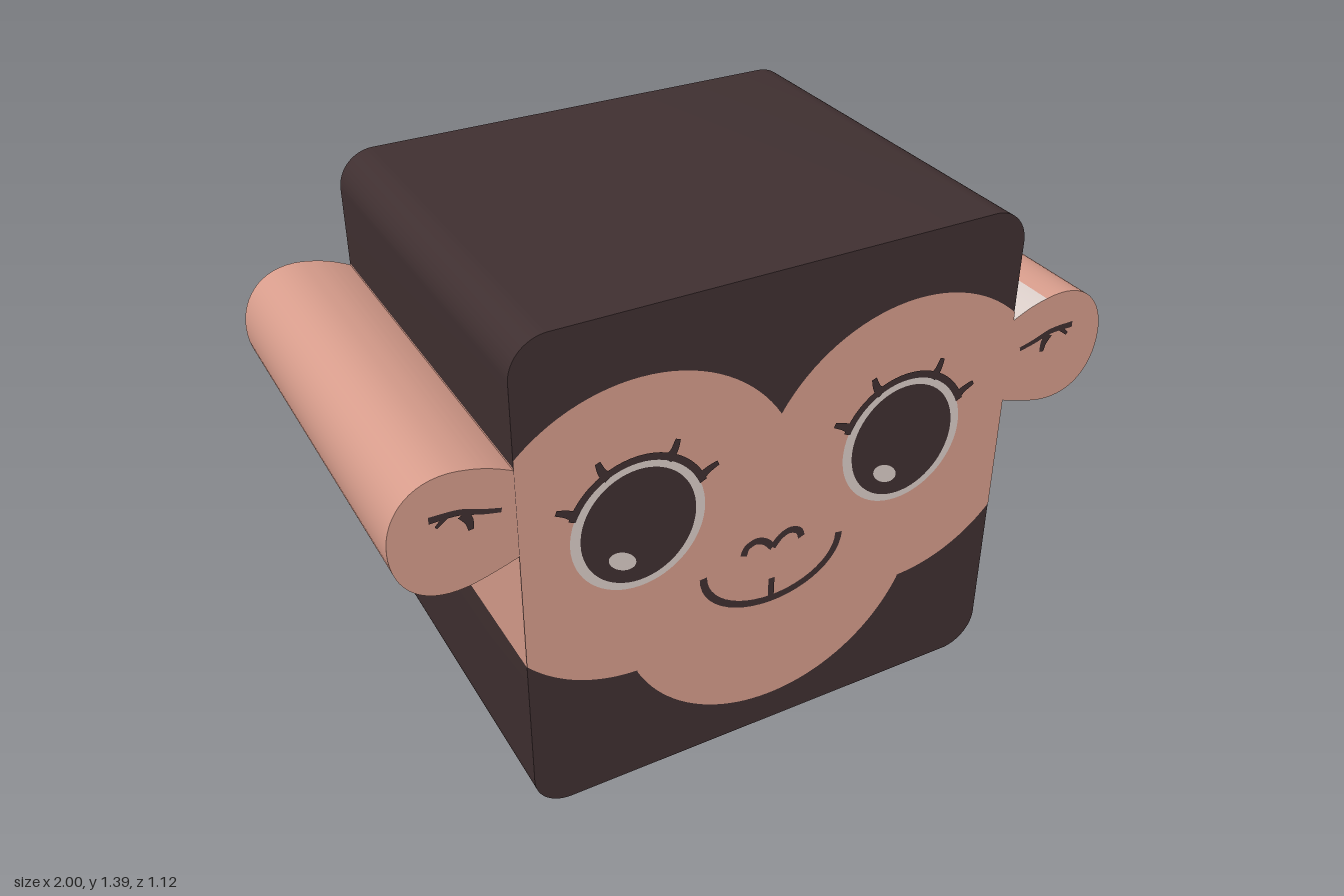
import * as THREE from 'three';
import { toCreasedNormals } from 'three/addons/utils/BufferGeometryUtils.js';

const W = 0.695, H = 1.39, D = 1.11, FRONT = D / 2, R = 0.1;

const mat = (name, color) => {
  const m = new THREE.MeshStandardMaterial({ color });
  m.name = name;
  return m;
};

// Extrudes a shape along z and picks a material index for every face from its centre
function extrudeBlock(name, shape, materials, pick) {
  let geo = new THREE.ExtrudeGeometry(shape, { depth: D, bevelEnabled: false, curveSegments: 16 });
  geo.translate(0, 0, -D / 2);
  geo = toCreasedNormals(geo, 0.5);
  geo.clearGroups();
  const p = geo.attributes.position;
  for (let i = 0; i < p.count; i += 3) {
    const mid = (get) => (get(i) + get(i + 1) + get(i + 2)) / 3;
    const x = mid((k) => p.getX(k)), y = mid((k) => p.getY(k)), z = mid((k) => p.getZ(k));
    const side = Math.abs(z) < D / 2 - 0.001;
    geo.addGroup(i, 3, pick(x, y, z, side));
  }
  const mesh = new THREE.Mesh(geo, materials);
  mesh.name = name;
  return mesh;
}

// Flat painted shape lying just in front of the face
function plate(name, shape, material, layer) {
  const mesh = new THREE.Mesh(new THREE.ShapeGeometry(shape, 32), material);
  mesh.position.z = FRONT + layer * 0.002;
  mesh.name = name;
  return mesh;
}

// Brush stroke along a smooth line; the width goes from w0 to w1
function stroke(points, w0, w1 = w0) {
  const curve = new THREE.SplineCurve(points.map(([x, y]) => new THREE.Vector2(x, y)));
  const left = [], right = [], n = 24;
  for (let i = 0; i <= n; i++) {
    const t = i / n, p = curve.getPoint(t), d = curve.getTangent(t);
    const h = (w0 + (w1 - w0) * t) / 2;
    left.push(new THREE.Vector2(p.x - d.y * h, p.y + d.x * h));
    right.unshift(new THREE.Vector2(p.x + d.y * h, p.y - d.x * h));
  }
  return new THREE.Shape([...left, ...right]);
}

function ellipse(x, y, rx, ry, turn = 0) {
  const s = new THREE.Shape();
  s.absellipse(x, y, rx, ry, 0, Math.PI * 2, false, turn);
  return s;
}

function arcPoints(cx, cy, rx, ry, a0, a1, n = 20) {
  return Array.from({ length: n + 1 }, (_, i) => {
    const a = THREE.MathUtils.degToRad(a0 + ((a1 - a0) * i) / n);
    return [cx + rx * Math.cos(a), cy + ry * Math.sin(a)];
  });
}

export function createModel() {
  const model = new THREE.Group();
  model.name = 'cubeMonkey';
  const fur = mat('dark brown fur', 0x403031);
  const skin = mat('pink skin', 0xd99e8d);
  const pale = mat('pale grey', 0xdccfca);

  // Rounded block body with a skin band on both side walls
  const body = new THREE.Shape();
  body.moveTo(-W + R, 0);
  body.lineTo(W - R, 0);
  body.absarc(W - R, R, R, -Math.PI / 2, 0);
  body.lineTo(W, 0.487);
  body.lineTo(W, 1.07);
  body.lineTo(W, H - R);
  body.absarc(W - R, H - R, R, 0, Math.PI / 2);
  body.lineTo(-W + R, H);
  body.absarc(-W + R, H - R, R, Math.PI / 2, Math.PI);
  body.lineTo(-W, 1.07);
  body.lineTo(-W, 0.487);
  body.lineTo(-W, R);
  body.absarc(-W + R, R, R, Math.PI, Math.PI * 1.5);
  model.add(extrudeBlock('body', body, [fur, skin], (x, y, z, side) =>
    side && Math.abs(x) > W - 0.001 && y > 0.6 && y < 0.95 ? 1 : 0));

  // Ears: skin front and rim, fur back, pale walls at the neck
  for (const s of [1, -1]) {
    const ear = new THREE.Shape();
    ear.moveTo(s * W, 0.825);
    ear.quadraticCurveTo(s * 0.75, 0.805, s * 0.8, 0.793);
    ear.bezierCurveTo(s * 0.93, 0.762, s, 0.84, s, 0.947);
    ear.bezierCurveTo(s, 1.045, s * 0.93, 1.132, s * 0.8, 1.103);
    ear.quadraticCurveTo(s * 0.75, 1.094, s * W, 1.065);
    ear.closePath();
    model.add(extrudeBlock(s > 0 ? 'leftEar' : 'rightEar', ear, [fur, skin, pale], (x, y, z, side) => {
      if (!side) return z > 0 ? 1 : 0;
      const neck = Math.abs(x) < 0.8;
      return neck && (s > 0 || y < 0.95) ? 2 : 1;
    }));
    // Ear fold marks
    const mark = (pts) => pts.map(([x, y]) => [s * x, y]);
    model.add(plate('earFold', stroke(mark([[0.73, 0.972], [0.775, 0.983], [0.83, 1.0], [0.9, 1.002]]), 0.012, 0.018), fur, 1));
    model.add(plate('earCrease', stroke(mark([[0.82, 0.993], [0.808, 0.97], [0.805, 0.945]]), 0.03, 0.012), fur, 1.5));
    model.add(plate('earTick', stroke(mark([[0.86, 1.0], [0.885, 0.978]]), 0.014, 0.008), fur, 1.5));
  }

  // Heart-topped face patch: muzzle, cheek and brow arcs, mirrored
  const half = [
    ...arcPoints(0, 0.537, 0.443, 0.443, -90, -26),
    ...arcPoints(0.385, 0.755, 0.41, 0.405, -88, -41),
    ...arcPoints(0.385, 0.763, 0.452, 0.452, 46.7, 148.4, 30),
  ].map(([x, y]) => [Math.min(x, W), y]);
  const other = half.slice(1, -1).reverse().map(([x, y]) => [-x, y]);
  const face = new THREE.Shape([...half, ...other].map(([x, y]) => new THREE.Vector2(x, y)));
  model.add(plate('facePatch', face, skin, 1));

  // Eyes with lid line and four lashes
  for (const [side, cx] of [['left', 0.368], ['right', -0.39]]) {
    const cy = 0.807;
    const eye = new THREE.Group();
    eye.name = side + 'Eye';
    eye.add(plate('eyeWhite', ellipse(cx, cy, 0.18, 0.184), pale, 2));
    eye.add(plate('iris', ellipse(cx, cy, 0.154, 0.163), fur, 3));
    eye.add(plate('highlight', ellipse(cx - 0.047, cy - 0.088, 0.041, 0.024, -0.6), pale, 4));
    eye.add(plate('lidLine', stroke(arcPoints(cx, cy, 0.187, 0.191, 22, 158), 0.02), fur, 3));
    for (const s of [1, -1]) {
      eye.add(plate('outerLash', stroke([[cx + s * 0.16, cy + 0.082], [cx + s * 0.185, cy + 0.1], [cx + s * 0.213, cy + 0.112]], 0.028, 0.014), fur, 3.4));
      eye.add(plate('upperLash', stroke([[cx + s * 0.075, cy + 0.165], [cx + s * 0.093, cy + 0.185], [cx + s * 0.104, cy + 0.215]], 0.03, 0.014), fur, 3.4));
    }
    model.add(eye);
  }

  // Nose and smiling mouth
  const mx = -0.01;
  for (const s of [1, -1]) {
    model.add(plate('nostril', stroke([[mx, 0.6], [mx + s * 0.022, 0.625], [mx + s * 0.05, 0.636],
      [mx + s * 0.077, 0.625], [mx + s * 0.086, 0.602]], 0.02), fur, 2));
  }
  model.add(plate('smile', stroke(arcPoints(mx, 0.575, 0.202, 0.142, 180, 360), 0.021), fur, 2));
  model.add(plate('lipLine', stroke([[mx, 0.5], [mx, 0.435]], 0.018), fur, 2.4));

  // Fix the winding of mirrored painted shapes is done by the shape triangulation
  return model;
}
